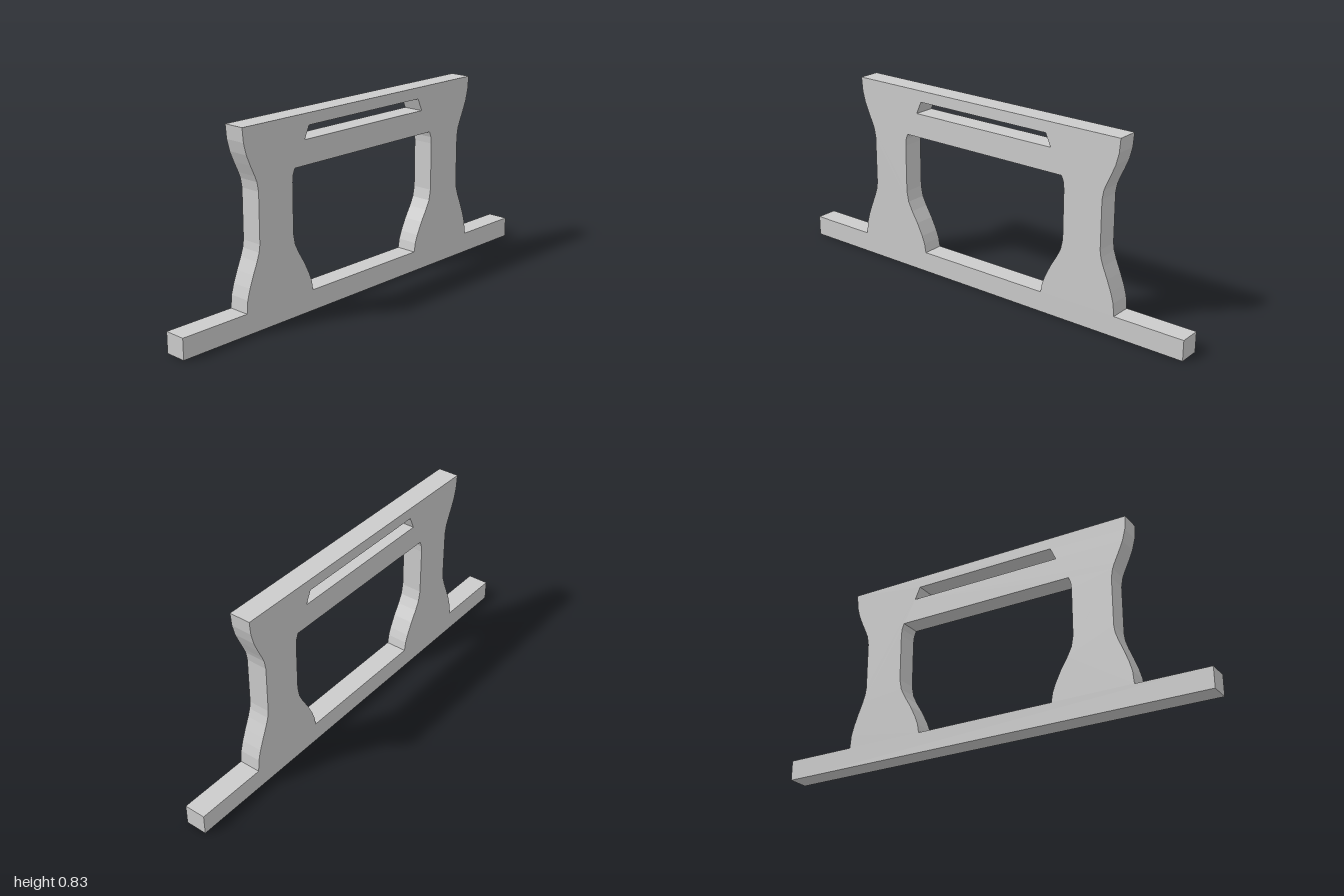
import * as THREE from 'three';

const DEPTH = 0.095;
const BASE_HEIGHT = 0.09;

// Half profiles on the +x side, listed from bottom to top
const outerSide = [
  [0.68, 0.09], [0.675, 0.145], [0.662, 0.19], [0.643, 0.24], [0.622, 0.29], [0.61, 0.325], [0.605, 0.357],
  [0.605, 0.57], [0.612, 0.61], [0.622, 0.635], [0.643, 0.68], [0.662, 0.725], [0.675, 0.775], [0.68, 0.835],
];
const openingSide = [
  [0.318, 0.09], [0.325, 0.13], [0.338, 0.165], [0.365, 0.22], [0.395, 0.27], [0.415, 0.31], [0.424, 0.357],
  [0.424, 0.57], [0.421, 0.6], [0.411, 0.625],
];
const slotSide = [[0.355, 0.73], [0.33, 0.785]];

// Closed outline from a half profile mirrored across x = 0
function mirrored(side) {
  const right = side.map(([x, y]) => new THREE.Vector2(x, y));
  const left = side.map(([x, y]) => new THREE.Vector2(-x, y)).reverse();
  return [...right, ...left];
}

export function createModel() {
  const group = new THREE.Group();
  const material = new THREE.MeshStandardMaterial({ color: 0xcccccc, flatShading: true });

  // Long foot rail
  const rail = new THREE.Mesh(new THREE.BoxGeometry(2, BASE_HEIGHT, DEPTH), material);
  rail.name = 'baseRail';
  rail.position.y = BASE_HEIGHT / 2;
  group.add(rail);

  // Two waisted legs joined by the top beam: the opening runs down to the rail
  const outline = [
    ...outerSide.map(([x, y]) => new THREE.Vector2(x, y)),
    ...outerSide.map(([x, y]) => new THREE.Vector2(-x, y)).reverse(),
    ...openingSide.map(([x, y]) => new THREE.Vector2(-x, y)),
    ...openingSide.map(([x, y]) => new THREE.Vector2(x, y)).reverse(),
  ];
  const shape = new THREE.Shape(outline);

  // Handle slot with slanted ends
  shape.holes.push(new THREE.Path(mirrored(slotSide)));

  const geometry = new THREE.ExtrudeGeometry(shape, { depth: DEPTH, bevelEnabled: false });
  geometry.translate(0, 0, -DEPTH / 2);
  const frame = new THREE.Mesh(geometry, material);
  frame.name = 'legFrame';
  group.add(frame);

  return group;
}
